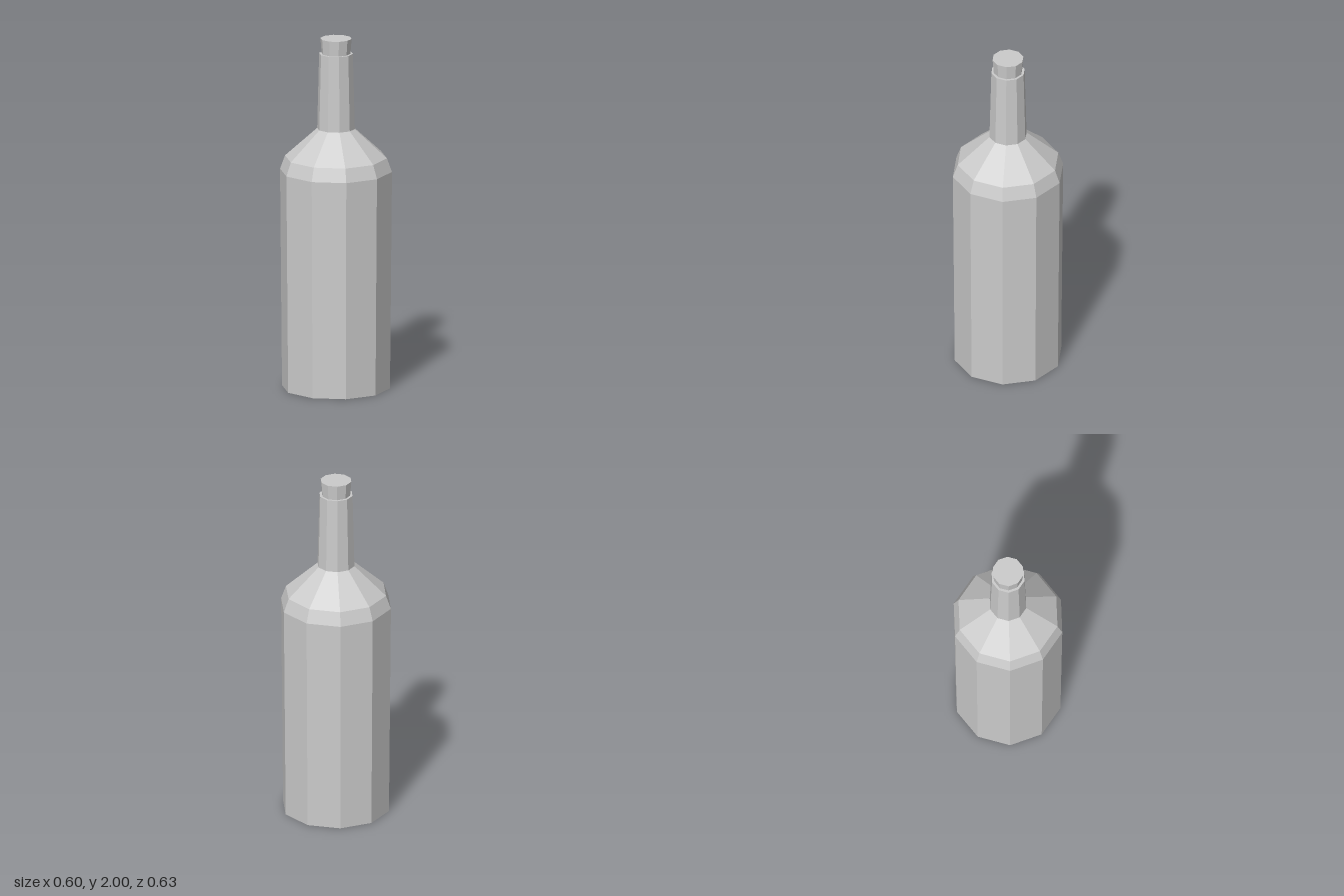
import * as THREE from 'three';

const SIDES = 10;

// Turns a [radius, height] profile (bottom to top) into a faceted mesh.
function turned(name, profile, material) {
  const points = profile.map(([r, y]) => new THREE.Vector2(r, y));
  const mesh = new THREE.Mesh(new THREE.LatheGeometry(points, SIDES), material);
  mesh.name = name;
  return mesh;
}

export function createModel() {
  const group = new THREE.Group();
  group.name = 'bottle';
  const material = new THREE.MeshStandardMaterial({ color: 0xcccccc, flatShading: true });

  // Body with closed base, slightly wider at the top, then shoulder, neck and lip
  group.add(turned('bottleBody', [
    [0, 0], [0.304, 0],
    [0.315, 1.243],
    [0.287, 1.32],
    [0.106, 1.483],
    [0.095, 1.914],
    [0, 1.914],
  ], material));

  // Stopper, flaring towards its flat top
  group.add(turned('stopper', [
    [0, 1.9], [0.08, 1.9], [0.088, 2], [0, 2],
  ], material));

  return group;
}
